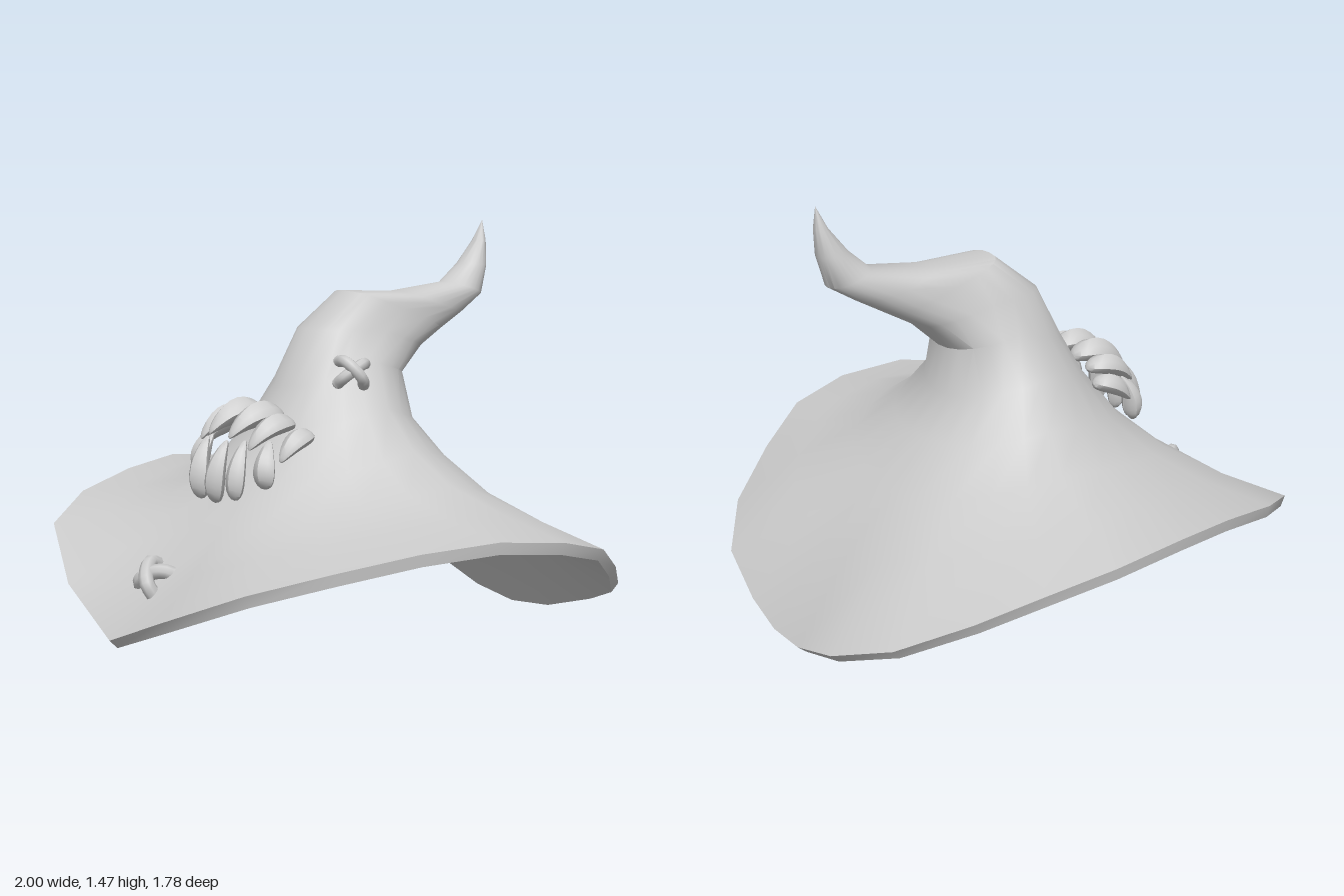
import * as THREE from 'three';
import { toCreasedNormals } from 'three/addons/utils/BufferGeometryUtils.js';

const N = 24;
const mat = new THREE.MeshStandardMaterial({ color: 0xcccccc });
const lerp = THREE.MathUtils.lerp;

// Half outline of the brim edge, front to back: [x, y, z]
const rim = [
  [0, 0.135, 0.89], [0.31, 0.26, 0.88], [0.635, 0.4, 0.772], [0.8, 0.47, 0.57], [0.9, 0.515, 0.32],
  [0.98, 0.535, 0.08], [1, 0.505, -0.17], [0.95, 0.445, -0.39], [0.83, 0.34, -0.57],
  [0.66, 0.22, -0.76], [0.44, 0.13, -0.875], [0.2, 0.05, -0.89], [0, 0.025, -0.893],
];

// Rings from brim to horn: front [z, y], side [x, z, y], back [z, y],
// share of the brim outline, exponent (below 1 is squarer)
const rings = [
  [[0.89, 0.135], [1, -0.17, 0.505], [-0.893, 0.025], 1, 1],
  [[0.72, 0.305], [0.77, -0.13, 0.555], [-0.68, 0.325], 0.8, 1],
  [[0.57, 0.465], [0.55, -0.09, 0.62], [-0.5, 0.495], 0.45, 1],
  [[0.42, 0.61], [0.4, -0.05, 0.72], [-0.365, 0.65], 0.15, 1],
  [[0.285, 0.785], [0.295, -0.02, 0.855], [-0.265, 0.78], 0, 1],
  [[0.21, 0.92], [0.205, -0.05, 1.0], [-0.25, 0.94], 0, 0.95],
  [[0.11, 1.11], [0.155, -0.12, 1.1], [-0.35, 1.03], 0, 0.8],
  [[-0.05, 1.235], [0.115, -0.23, 1.17], [-0.45, 1.085], 0, 0.65],
  [[-0.28, 1.225], [0.1, -0.4, 1.18], [-0.55, 1.14], 0, 0.75],
  [[-0.5, 1.25], [0.078, -0.58, 1.225], [-0.65, 1.2], 0, 0.95],
  [[-0.575, 1.315], [0.056, -0.635, 1.31], [-0.682, 1.305], 0, 1],
  [[-0.64, 1.395], [0.028, -0.665, 1.395], [-0.688, 1.395], 0, 1],
  [[-0.68, 1.47], [0, -0.68, 1.47], [-0.68, 1.47], 0, 1],
];

function ringPoints([front, side, back, share, power]) {
  const pts = [];
  for (let j = 0; j < N; j++) {
    const k = j <= 12 ? j : N - j;
    const s = j <= 12 ? 1 : -1;
    const a = (k / 12) * Math.PI;
    const end = k <= 6 ? front : back;
    const rimEnd = k <= 6 ? rim[0] : rim[12];
    const c = Math.pow(Math.abs(Math.cos(a)), power);
    const u = lerp(Math.pow(Math.abs(Math.sin(a)), power), rim[k][0], share);
    const v = lerp(c, (rim[k][2] - rim[6][2]) / (rimEnd[2] - rim[6][2]), share);
    const h = lerp(c, (rim[k][1] - rim[6][1]) / (rimEnd[1] - rim[6][1]), share);
    pts.push(new THREE.Vector3(s * side[0] * u, lerp(side[2], end[1], h), lerp(side[1], end[0], v)));
  }
  return pts;
}

// Skin closed rings of N points
function loft(rows) {
  const idx = [];
  for (let i = 0; i < rows.length - 1; i++) {
    for (let j = 0; j < N; j++) {
      const a = i * N + j, b = i * N + (j + 1) % N;
      idx.push(a, b, b + N, a, b + N, a + N);
    }
  }
  const geo = new THREE.BufferGeometry().setFromPoints(rows.flat());
  geo.setIndex(idx);
  geo.computeVertexNormals();
  return geo;
}

function hatGeometry() {
  const outer = rings.map(ringPoints);
  const normals = loft(outer).attributes.normal;
  // Inner lining, offset from the outside and closed by a shallow dome
  const inner = outer.slice(0, 3).map((row, i) => row.map((p, j) =>
    p.clone().addScaledVector(new THREE.Vector3().fromBufferAttribute(normals, i * N + j), -0.04)));
  const apex = Array.from({ length: N }, () => new THREE.Vector3(0, 0.61, 0));
  return toCreasedNormals(loft([apex, ...inner.reverse(), ...outer]), 0.7);
}

// Plump ridged leaf running from its broad base to its pointed tip
function petal(base, tip, width, bulge) {
  const a = new THREE.Vector3(...base), b = new THREE.Vector3(...tip);
  const dir = b.clone().sub(a);
  const geo = new THREE.SphereGeometry(1, 8, 12);
  const p = geo.attributes.position;
  for (let i = 0; i < p.count; i++) {
    const x = p.getX(i), y = p.getY(i), taper = 1 - 0.4 * y;
    p.setXYZ(i, x * width * taper, y * dir.length() / 2,
      p.getZ(i) * (1 - 0.3 * Math.abs(x)) * width * 0.8 * taper + bulge * (1 - y * y));
  }
  const mesh = new THREE.Mesh(toCreasedNormals(geo, 0.75), mat);
  const yAxis = dir.clone().normalize();
  const out = new THREE.Vector3(a.x, 0.6, 0.8);
  const xAxis = new THREE.Vector3().crossVectors(yAxis, out).normalize();
  const zAxis = new THREE.Vector3().crossVectors(xAxis, yAxis);
  mesh.quaternion.setFromRotationMatrix(new THREE.Matrix4().makeBasis(xAxis, yAxis, zAxis));
  mesh.position.copy(a).add(b).multiplyScalar(0.5);
  return mesh;
}

// Two crossed arched stitches lying on a surface with the given normal
function crossStitch(name, pos, normal, size, turn) {
  const group = new THREE.Group();
  group.name = name;
  const radius = size * 0.35;
  [0.5, 2.2].forEach((angle, i) => {
    const lift = i * 0.014;
    const path = new THREE.CatmullRomCurve3([[-1, -0.025], [-0.7, 0.006 + lift], [0, 0.018 + lift],
      [0.7, 0.006 + lift], [1, -0.025]].map(([x, z]) => new THREE.Vector3(x * size, 0, z)));
    const arm = new THREE.Mesh(new THREE.TubeGeometry(path, 12, radius, 8), mat);
    arm.name = 'stitch';
    arm.rotation.z = angle + turn;
    group.add(arm);
    // Rounded ends
    for (const s of [-1, 1]) {
      const end = new THREE.Mesh(new THREE.SphereGeometry(radius, 8, 6), mat);
      end.name = 'stitchEnd';
      end.position.set(s * size, 0, -0.025);
      end.scale.z = 0.6;
      arm.add(end);
    }
  });
  group.position.set(...pos);
  group.lookAt(new THREE.Vector3(...pos).add(new THREE.Vector3(...normal)));
  return group;
}

export function createModel() {
  const model = new THREE.Group();
  model.name = 'pointedHat';

  const hat = new THREE.Mesh(hatGeometry(), mat);
  hat.name = 'hatBody';
  model.add(hat);

  // Upper and lower rows of petals: [base, tip, half width, bulge]
  const rows = {
    upperPetal: [
      [[0.058, 0.835, 0.25], [0.062, 0.77, 0.465], 0.052, 0.035],
      [[0.14, 0.815, 0.26], [0.15, 0.74, 0.445], 0.046, 0.03],
      [[0.215, 0.785, 0.24], [0.24, 0.705, 0.38], 0.042, 0.02],
    ],
    lowerPetal: [
      [[0.045, 0.555, 0.51], [0.06, 0.765, 0.47], 0.042, 0.02],
      [[0.118, 0.57, 0.48], [0.1, 0.765, 0.425], 0.037, 0.015],
      [[0.208, 0.615, 0.42], [0.18, 0.77, 0.38], 0.04, 0.015],
    ],
  };
  for (const [name, list] of Object.entries(rows)) {
    for (const [base, tip, width, bulge] of list) {
      for (const s of [-1, 1]) {
        const mesh = petal([s * base[0], base[1], base[2]], [s * tip[0], tip[1], tip[2]], width, bulge);
        mesh.name = name;
        model.add(mesh);
      }
    }
  }

  model.add(crossStitch('brimStitch', [0, 0.325, 0.725], [0, 0.7, 0.7], 0.072, 0.1));
  model.add(crossStitch('crownStitch', [0.217, 0.98, 0.07], [0.85, 0.35, 0.4], 0.058, 0.1));
  return model;
}
